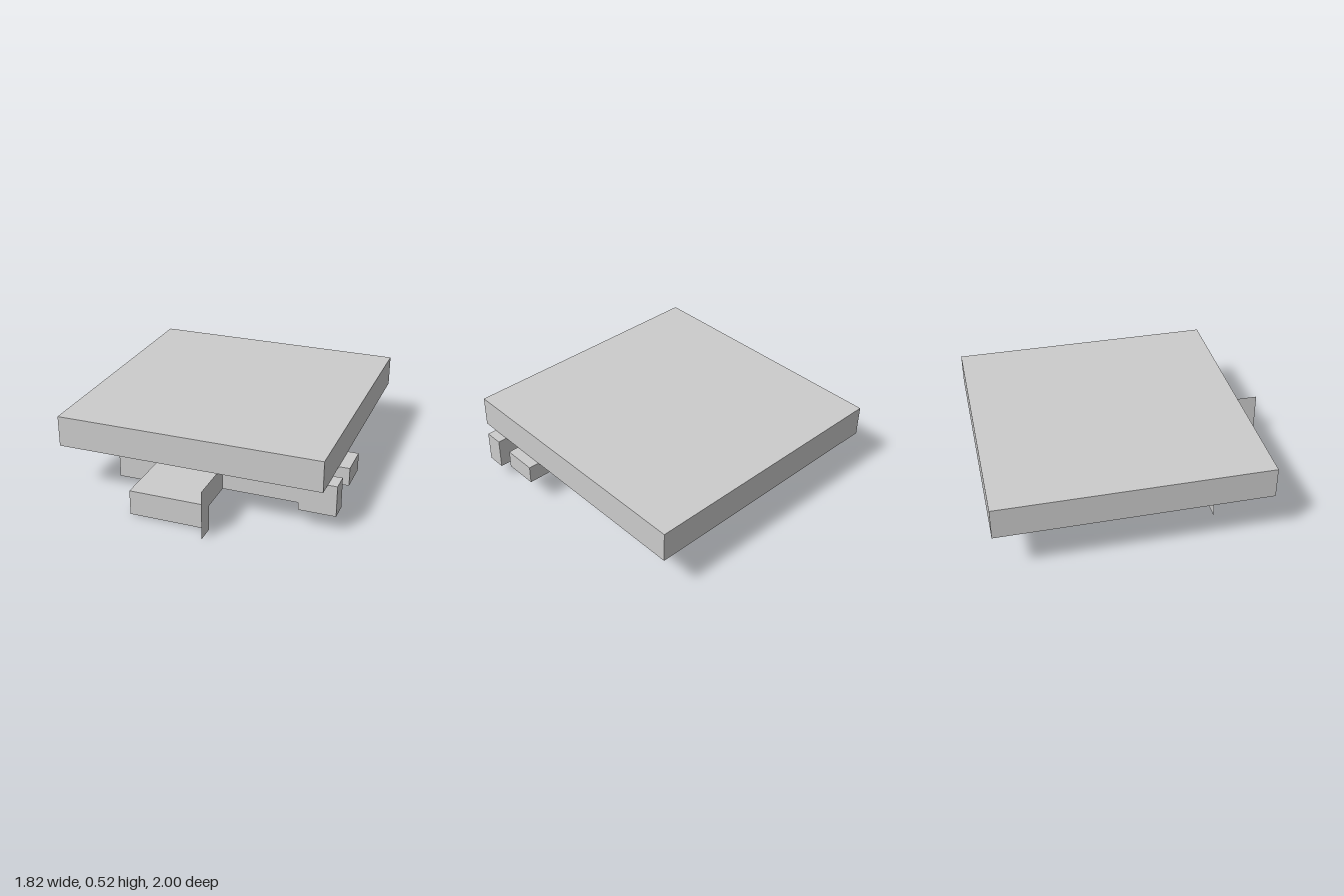
import * as THREE from 'three';

const solid = new THREE.MeshStandardMaterial({ color: 0xcccccc, flatShading: true });
const thin = new THREE.MeshStandardMaterial({ color: 0xcccccc, flatShading: true, side: THREE.DoubleSide });
const DECK = 0.32; // underside of the slab

export function createModel() {
  const model = new THREE.Group();

  const add = (name, geometry, material = solid) => {
    const mesh = new THREE.Mesh(geometry, material);
    mesh.name = name;
    model.add(mesh);
    return mesh;
  };

  // Solid block given by its extents
  const block = (name, x0, x1, y0, y1, z0, z1) =>
    add(name, new THREE.BoxGeometry(x1 - x0, y1 - y0, z1 - z0))
      .position.set((x0 + x1) / 2, (y0 + y1) / 2, (z0 + z1) / 2);

  // Open sheets facing along z, x and y
  const sheetZ = (name, z, x0, x1, y0, y1) =>
    add(name, new THREE.PlaneGeometry(x1 - x0, y1 - y0), thin)
      .position.set((x0 + x1) / 2, (y0 + y1) / 2, z);
  const sheetX = (name, x, z0, z1, y0, y1) =>
    add(name, new THREE.PlaneGeometry(z1 - z0, y1 - y0).rotateY(Math.PI / 2), thin)
      .position.set(x, (y0 + y1) / 2, (z0 + z1) / 2);
  const sheetY = (name, y, x0, x1, z0, z1) =>
    add(name, new THREE.PlaneGeometry(x1 - x0, z1 - z0).rotateX(-Math.PI / 2), thin)
      .position.set((x0 + x1) / 2, y, (z0 + z1) / 2);

  const shape = (points) => new THREE.Shape(points.map(([a, b]) => new THREE.Vector2(a, b)));

  // Main slab
  block('slab', -0.91, 0.84, DECK, 0.525, -1, 0.75);

  // Shallow tray under the slab with one cut corner (outline in x, -z)
  const tray = new THREE.ExtrudeGeometry(
    shape([[-0.365, -0.45], [0.13, -0.45], [0.13, 0.3], [0.075, 0.355], [-0.365, 0.355]]),
    { depth: DECK - 0.24, bevelEnabled: false });
  add('underTray', tray.rotateX(-Math.PI / 2)).position.y = 0.24;

  // Stepped blocks beside the tray
  block('sideBlockInner', -0.555, -0.36, 0.165, DECK, 0.165, 0.45);
  block('sideBlockOuter', -0.645, -0.555, 0.165, DECK, 0.12, 0.45);

  // Open front step made of sheets
  sheetY('stepTread', 0.165, -0.36, 0.17, 0.45, 0.88);
  sheetZ('stepFront', 0.88, -0.36, 0.17, 0, 0.165);
  sheetX('stepRightWall', -0.36, 0.45, 0.88, 0, 0.165);
  sheetZ('stepBackWall', 0.45, -0.36, 0.17, 0.165, DECK);
  sheetZ('rightHangingWall', 0.45, -0.645, -0.36, 0, 0.165);
  sheetX('leftWallUpper', 0.17, 0.45, 0.88, 0.165, DECK);
  sheetX('leftWallFront', 0.17, 0.88, 1, 0, DECK);

  // Arm and tabs on the left edge
  block('arm', 0.17, 0.66, 0.165, DECK, 0.57, 0.65);
  block('frontTab', 0.66, 0.9, 0.115, DECK, 0.53, 0.65);
  block('rearTab', 0.665, 0.91, 0.2, DECK, 0.18, 0.4);

  // Small lugs behind the arm
  for (const x of [0.41, 0.475]) block('lug', x, x + 0.03, 0.285, DECK, 0.475, 0.525);

  // Clips near the back: a plain one and a hooked one (profile in -z, y)
  block('plainClip', -0.53, -0.49, 0.283, DECK, -0.73, -0.6);
  const hook = new THREE.ExtrudeGeometry(
    shape([[0.6, DECK], [0.6, 0.275], [0.68, 0.275], [0.68, 0.25], [0.71, 0.25], [0.73, 0.28], [0.73, DECK]]),
    { depth: 0.04, bevelEnabled: false });
  add('hookClip', hook.rotateY(Math.PI / 2)).position.x = -0.25;

  return model;
}
